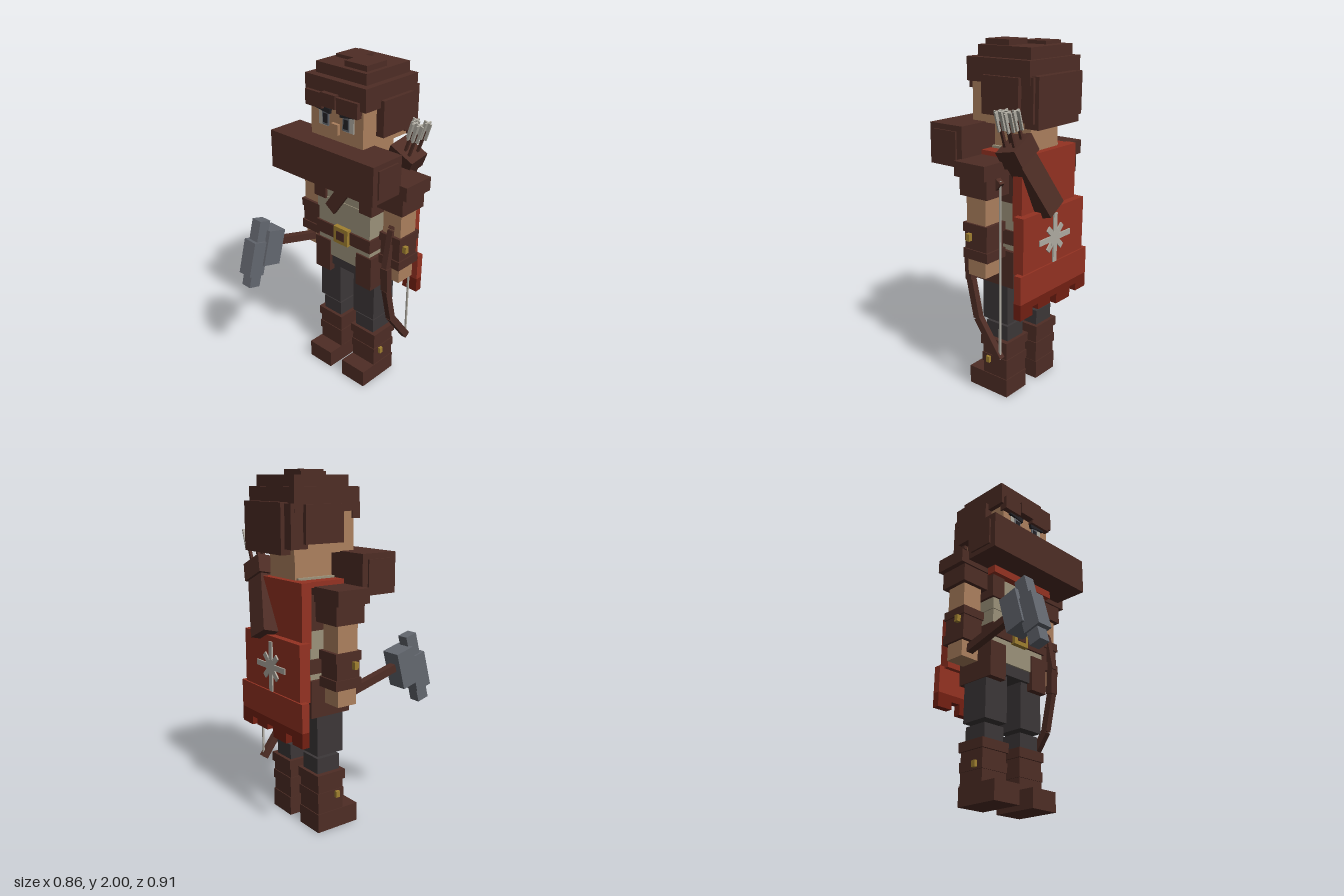
import * as THREE from 'three';

const mat = (name, color) => Object.assign(new THREE.MeshStandardMaterial({ color }), { name });

export function createModel() {
  const model = new THREE.Group();
  model.name = 'ranger';

  const leather = mat('leather', 0x4e2d25), skin = mat('skin', 0xac805e);
  const linen = mat('linen', 0x9c927a), cloth = mat('dark cloth', 0x3c3738);
  const red = mat('red cape', 0x943222), darkRed = mat('dark red hem', 0x731f12);
  const gold = mat('brass', 0xa08030), steel = mat('steel', 0x646870);
  const pale = mat('pale grey', 0xb0aca2), black = mat('black', 0x242226);

  // Box from its extents
  const box = (name, m, x0, x1, y0, y1, z0, z1, parent = model) => {
    const mesh = new THREE.Mesh(new THREE.BoxGeometry(x1 - x0, y1 - y0, z1 - z0), m);
    mesh.position.set((x0 + x1) / 2, (y0 + y1) / 2, (z0 + z1) / 2);
    mesh.name = name;
    parent.add(mesh);
    return mesh;
  };
  // Box on both sides
  const pair = (name, m, x0, x1, ...rest) => {
    box(name + 'Left', m, x0, x1, ...rest);
    box(name + 'Right', m, -x1, -x0, ...rest);
  };
  // Bar between two points
  const up = new THREE.Vector3(0, 1, 0);
  const bar = (name, m, a, b, w, d, parent = model) => {
    const p = new THREE.Vector3(...a), q = new THREE.Vector3(...b), dir = q.clone().sub(p);
    const mesh = new THREE.Mesh(new THREE.BoxGeometry(w, dir.length(), d), m);
    mesh.position.copy(p).add(q).multiplyScalar(0.5);
    mesh.quaternion.setFromUnitVectors(up, dir.normalize());
    mesh.name = name;
    parent.add(mesh);
    return mesh;
  };

  // Boots and legs
  pair('bootFoot', leather, 0.05, 0.23, 0, 0.11, -0.255, 0.02);
  pair('bootShaft', leather, 0.052, 0.225, 0.11, 0.29, -0.25, -0.08);
  pair('bootStrap', leather, 0.047, 0.23, 0.18, 0.235, -0.255, -0.075);
  pair('bootCuff', leather, 0.042, 0.235, 0.29, 0.345, -0.26, -0.07);
  pair('bootBuckle', gold, 0.225, 0.247, 0.19, 0.227, -0.14, -0.115);
  pair('shin', cloth, 0.065, 0.205, 0.34, 0.435, -0.24, -0.09);
  pair('thigh', cloth, 0.055, 0.217, 0.455, 0.735, -0.25, -0.075);
  box('hips', cloth, -0.2, 0.2, 0.73, 0.8, -0.27, -0.055);

  // Torso
  box('tunic', linen, -0.2, 0.2, 0.795, 1.1, -0.28, -0.045);
  box('shirt', linen, -0.205, 0.205, 1.1, 1.18, -0.283, -0.04);
  box('shirtChest', linen, -0.2, 0.2, 1.18, 1.4, -0.28, -0.045);
  pair('vestFlap', leather, 0.13, 0.222, 1.17, 1.36, -0.29, -0.028);
  box('vestBack', leather, -0.2, 0.2, 1.1, 1.38, -0.295, -0.26);
  pair('skirtFlap', leather, 0.105, 0.222, 0.685, 0.895, -0.29, -0.035);
  box('belt', leather, -0.212, 0.212, 0.93, 1.01, -0.292, -0.033);
  box('beltBuckle', gold, -0.055, 0.055, 0.92, 1.025, -0.05, -0.015);
  box('beltBuckleCentre', leather, -0.03, 0.03, 0.945, 1.0, -0.016, -0.01);

  // Chest strap and clasp
  bar('chestStrap', leather, [-0.09, 1.12, -0.028], [0.03, 1.29, -0.028], 0.08, 0.02);
  bar('strapClasp', gold, [0.02, 1.27, -0.026], [0.055, 1.32, -0.026], 0.09, 0.018);

  // Arms
  pair('shoulderCap', leather, 0.2, 0.43, 1.325, 1.405, -0.27, -0.065);
  pair('sleeve', leather, 0.21, 0.4, 1.22, 1.325, -0.26, -0.075);
  pair('arm', skin, 0.25, 0.375, 1.05, 1.22, -0.23, -0.1);
  pair('bracer', leather, 0.245, 0.38, 0.88, 1.05, -0.24, -0.09);
  pair('bracerTop', leather, 0.238, 0.387, 1.02, 1.07, -0.25, -0.082);
  pair('bracerBottom', leather, 0.238, 0.387, 0.87, 0.925, -0.25, -0.082);
  pair('bracerBuckle', gold, 0.375, 0.405, 0.975, 1.015, -0.14, -0.115);
  pair('hand', skin, 0.255, 0.372, 0.775, 0.87, -0.225, -0.105);

  // Wide scarf and cape collar
  box('scarf', leather, -0.38, 0.38, 1.355, 1.575, -0.075, 0.148);
  box('scarfEnds', leather, -0.39, 0.39, 1.385, 1.545, -0.04, 0.112);
  box('collarFront', red, -0.235, 0.235, 1.31, 1.43, -0.06, -0.001);
  pair('collarSide', red, 0.15, 0.225, 1.4, 1.43, -0.32, -0.06);
  box('neck', skin, -0.12, 0.12, 1.38, 1.58, -0.32, -0.08);
  box('shirtCollar', linen, -0.14, 0.14, 1.38, 1.44, -0.31, -0.07);

  // Cape with toothed hem
  box('capeTop', red, -0.24, 0.24, 1.08, 1.43, -0.36, -0.3);
  box('capeMiddle', red, -0.275, 0.275, 0.8, 1.12, -0.4, -0.335);
  box('capeLower', red, -0.307, 0.307, 0.65, 0.81, -0.41, -0.365);
  box('capeHem', darkRed, -0.307, 0.307, 0.61, 0.65, -0.41, -0.365);
  [[-0.307, -0.21, 0.565], [-0.15, -0.02, 0.55], [0.04, 0.15, 0.575], [0.2, 0.307, 0.56]]
    .forEach(([a, b, y]) => box('hemTooth', darkRed, a, b, y, 0.61, -0.41, -0.365));
  // Eight-pointed star on the cape
  for (let i = 0; i < 4; i++) {
    const r = i % 2 ? 0.09 : 0.14, ray = box('starRay', pale, -0.016, 0.016, 0.95 - r, 0.95 + r, -0.408, -0.398);
    ray.rotation.z = i * Math.PI / 4;
  }
  box('starCentre', pale, -0.038, 0.038, 0.912, 0.988, -0.409, -0.399);

  // Head and face
  box('head', skin, -0.19, 0.19, 1.57, 1.85, -0.37, 0.015);
  box('nose', skin, -0.025, 0.025, 1.615, 1.675, 0.01, 0.035);
  pair('eyeWhite', pale, 0.055, 0.128, 1.645, 1.745, 0.015, 0.02);
  pair('iris', steel, 0.05, 0.098, 1.65, 1.735, 0.019, 0.024);
  pair('pupil', black, 0.06, 0.09, 1.662, 1.715, 0.022, 0.027);
  for (const s of [1, -1]) {
    const brow = box('eyebrow', black, s * 0.09 - 0.055, s * 0.09 + 0.055, 1.728, 1.756, 0.015, 0.032);
    brow.rotation.z = s * 0.15;
  }

  // Blocky hair
  box('hairCap', leather, -0.218, 0.218, 1.785, 1.91, -0.385, 0.03);
  box('hairCrown', leather, -0.18, 0.18, 1.91, 1.97, -0.36, -0.015);
  box('hairTuftRight', leather, -0.157, -0.024, 1.96, 1.988, -0.3, -0.145);
  box('hairTuftLeft', leather, 0, 0.155, 1.96, 2, -0.2, -0.045);
  pair('hairSide', leather, 0.185, 0.24, 1.625, 1.825, -0.33, -0.088);
  box('hairBack', leather, -0.215, 0.215, 1.6, 1.83, -0.405, -0.3);
  box('hairBackPanel', leather, -0.157, 0.2, 1.57, 1.835, -0.428, -0.34);
  box('fringeRight', leather, -0.2, -0.075, 1.745, 1.83, 0, 0.05);
  box('fringeMiddle', leather, -0.075, 0.028, 1.765, 1.84, 0, 0.06);
  box('fringeLeft', leather, 0.028, 0.178, 1.745, 1.83, 0, 0.05);

  // Quiver with arrows
  bar('quiver', leather, [0.05, 1.12, -0.405], [0.22, 1.44, -0.315], 0.14, 0.1);
  bar('quiverRim', leather, [0.2, 1.41, -0.325], [0.245, 1.5, -0.305], 0.165, 0.13);
  [[0, 0.02], [0.045, -0.035], [-0.03, -0.03], [0.04, 0.03]].forEach(([dx, dz]) => {
    const x = 0.24 + dx, z = -0.305 + dz;
    bar('arrowShaft', leather, [x - 0.03, 1.42, z], [x + 0.04, 1.62, z], 0.015, 0.015);
    for (const [w, d] of [[0.05, 0.009], [0.009, 0.05]]) {
      bar('arrowFletching', pale, [x + 0.022, 1.57, z], [x + 0.053, 1.67, z], w, d);
    }
  });

  // Bow in the left hand
  const bowPath = [[1.31, -0.275], [1.1, -0.105], [0.87, -0.062], [0.72, -0.07], [0.5, -0.12], [0.29, -0.275]];
  for (let i = 0; i < 5; i++) {
    const [y0, z0] = bowPath[i], [y1, z1] = bowPath[i + 1], w = i === 2 ? 0.05 : 0.036;
    bar('bowLimb', leather, [0.312, y0, z0], [0.312, y1, z1], w, 0.042);
  }
  box('bowString', pale, 0.307, 0.317, 0.29, 1.31, -0.28, -0.27);

  // Hammer in the right hand, tilted upward
  const hammer = new THREE.Group();
  hammer.name = 'hammer';
  hammer.position.set(-0.315, 0.83, -0.1);
  hammer.rotation.x = -0.27;
  model.add(hammer);
  box('hammerHandle', leather, -0.022, 0.022, -0.022, 0.022, -0.06, 0.42, hammer);
  box('hammerBlock', steel, -0.06, 0.06, -0.125, 0.09, 0.319, 0.439, hammer);
  box('hammerBlade', steel, -0.034, 0.034, -0.265, 0.145, 0.425, 0.5, hammer);
  box('hammerPlate', steel, -0.046, 0.046, -0.19, 0.02, 0.42, 0.525, hammer);

  return model;
}
